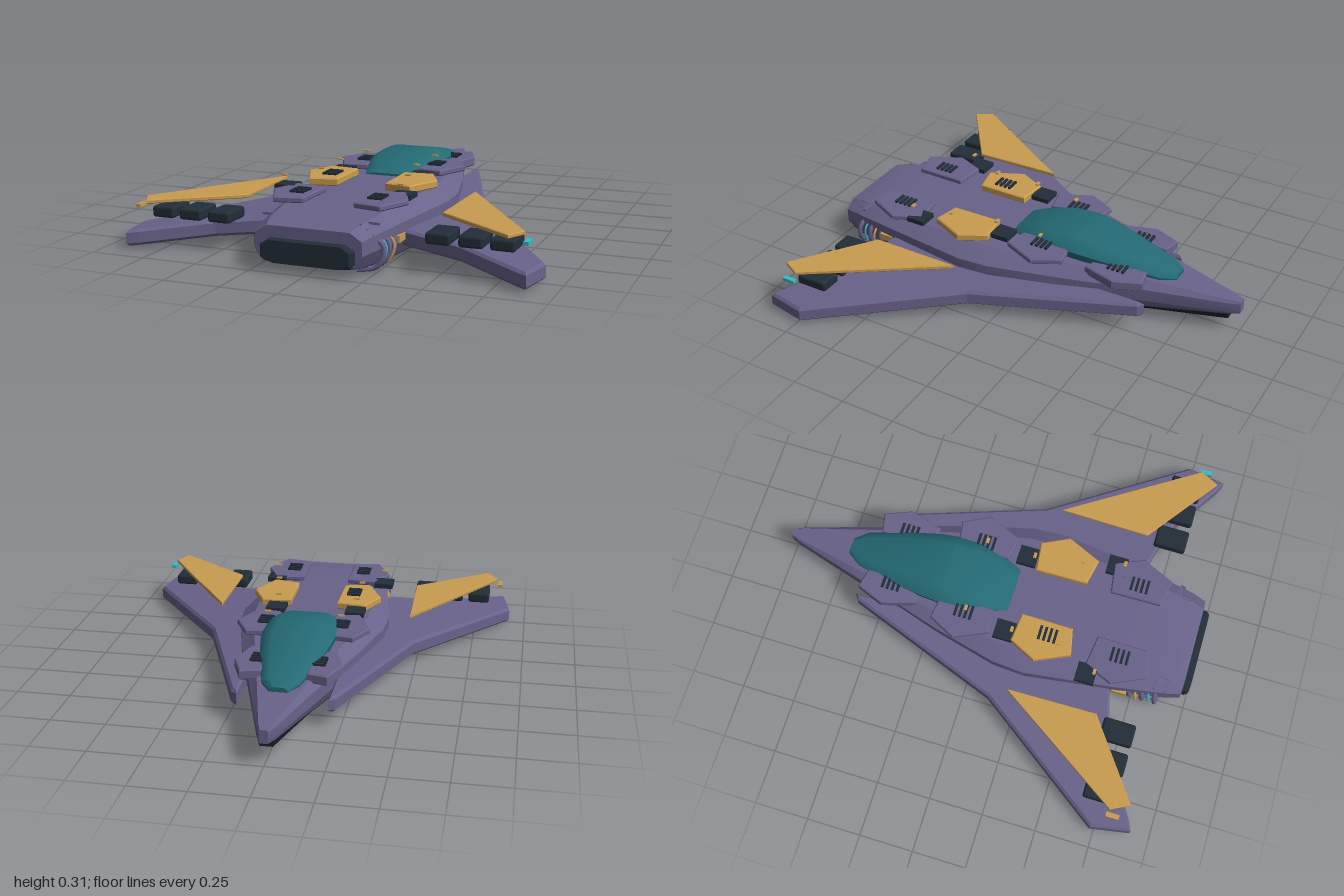
import * as THREE from 'three';
import { toCreasedNormals } from 'three/addons/utils/BufferGeometryUtils.js';
import { RoundedBoxGeometry } from 'three/addons/geometries/RoundedBoxGeometry.js';

const mat = (name, color, side = THREE.FrontSide) => {
  const m = new THREE.MeshStandardMaterial({ color, side });
  m.name = name;
  return m;
};

// Closed skin through cross-sections ordered by rising z: { z, ring: [[x, y], ...] }
function loft(sections, crease) {
  const n = sections[0].ring.length, pos = [], idx = [];
  for (const s of sections) for (const [x, y] of s.ring) pos.push(x, y, s.z);
  for (let i = 0; i < sections.length - 1; i++) {
    for (let j = 0; j < n; j++) {
      const a = i * n + j, b = i * n + (j + 1) % n;
      idx.push(a, b, b + n, a, b + n, a + n);
    }
  }
  const last = (sections.length - 1) * n;
  for (let j = 1; j < n - 1; j++) {
    idx.push(0, j + 1, j);
    idx.push(last, last + j, last + j + 1);
  }
  const g = new THREE.BufferGeometry();
  g.setAttribute('position', new THREE.Float32BufferAttribute(pos, 3));
  g.setIndex(idx);
  return toCreasedNormals(g, crease);
}

// Mirror the right half of a ring (listed bottom to top) into a full loop
const ringOf = half => [...half, ...half.map(([x, y]) => [-x, y]).reverse()];

// Horizontal plate from an [x, z] outline, between heights y0 and y1
function plate(points, y0, y1, bevel, side = 1) {
  const shape = new THREE.Shape(points.map(([x, z]) => new THREE.Vector2(x * side, -z)));
  const g = new THREE.ExtrudeGeometry(shape, {
    depth: y1 - y0 - 2 * bevel, bevelEnabled: bevel > 0, bevelSize: bevel,
    bevelThickness: bevel, bevelOffset: -bevel, bevelSegments: 1,
  });
  return g.rotateX(-Math.PI / 2).translate(0, y0 + bevel, 0);
}

export function createModel() {
  const root = new THREE.Group();
  const purple = mat('hull purple', 0x69628a);
  const dark = mat('dark slate', 0x222e38);
  const black = mat('belly black', 0x182125);
  const gold = mat('panel gold', 0xc99c50);
  const teal = mat('canopy teal', 0x246a74);
  const cyan = mat('light cyan', 0x38b8cc);

  const add = (name, geo, material, x = 0, y = 0, z = 0, parent = root) => {
    const m = new THREE.Mesh(geo, material);
    m.name = name;
    m.position.set(x, y, z);
    parent.add(m);
    return m;
  };
  const box = (name, w, h, d, material, x, y, z) =>
    add(name, new THREE.BoxGeometry(w, h, d), material, x, y, z);

  // Fuselage stations: z, half width, top, shoulder, lower edge, underside, keel
  const stations = [
    [-1, 0.02, 0.165, 0.155, 0.115, 0.105, 0.1],
    [-0.95, 0.04, 0.17, 0.157, 0.115, 0.098, 0.068],
    [-0.6, 0.145, 0.203, 0.17, 0.11, 0.07, 0.042],
    [-0.2, 0.27, 0.23, 0.18, 0.115, 0.035, 0.006],
    [0.1, 0.345, 0.235, 0.18, 0.115, 0.03, 0.006],
    [0.25, 0.355, 0.235, 0.18, 0.115, 0.03, 0.008],
    [0.65, 0.30, 0.222, 0.175, 0.105, 0.03, 0.016],
    [0.9, 0.255, 0.208, 0.165, 0.1, 0.035, 0.024],
    [0.965, 0.235, 0.19, 0.155, 0.095, 0.045, 0.036],
  ];
  add('fuselage', loft(stations.map(([z, w, top, sh, low, under]) => ({
    z, ring: ringOf([[w * 0.86, under], [w, low], [w, sh], [w * 0.78, top]]),
  })), 0.35), purple);
  add('belly', loft(stations.slice(1).map(([z, w, , , , under, keel]) => ({
    z, ring: ringOf([[w * 0.7, keel], [w * 0.87, under - 0.002], [w * 0.8, under + 0.01]]),
  })), 0.35), black);

  // Engine nozzle at the tail
  const nozzle = s => ringOf([[0.15 * s, 0.09 - 0.05 * s], [0.205 * s, 0.09 - 0.03 * s],
    [0.205 * s, 0.09 + 0.025 * s], [0.165 * s, 0.09 + 0.05 * s]]);
  add('engineNozzle', loft([{ z: 0.94, ring: nozzle(1) }, { z: 0.985, ring: nozzle(1) },
    { z: 1, ring: nozzle(0.94) }], 0.3), dark);

  // Canopy: z, half width, base, top
  const canopy = [
    [-0.7, 0.04, 0.185, 0.215], [-0.64, 0.085, 0.19, 0.232], [-0.45, 0.132, 0.2, 0.275],
    [-0.3, 0.16, 0.21, 0.305], [-0.22, 0.168, 0.215, 0.312], [-0.1, 0.17, 0.215, 0.303],
    [0.0, 0.145, 0.22, 0.282], [0.05, 0.122, 0.22, 0.266], [0.1, 0.105, 0.22, 0.245],
  ].map(([z, w, base, top]) => ({
    z, ring: ringOf([[w * 0.95, base], [w, base + (top - base) * 0.5],
      [w * 0.85, base + (top - base) * 0.8], [w * 0.62, top]]),
  }));
  add('canopy', loft(canopy, 0.5), teal);

  const wingOutline = [[0.2, -0.62], [0.228, -0.6], [0.49, 0.12], [0.922, 0.73], [0.89, 0.91], [0.845, 0.89],
    [0.56, 0.715], [0.3, 0.65], [0.2, 0.6]];
  const flapOutline = [[0.46, 0.2], [0.85, 0.79], [0.805, 0.875], [0.452, 0.62]];
  // Dorsal armour: outline, base height, top height, material
  const armour = [
    [[[0.1, -0.58], [0.19, -0.6], [0.24, -0.475], [0.195, -0.32], [0.1, -0.35]], 0.19, 0.235, purple],
    [[[0.12, -0.21], [0.245, -0.23], [0.31, -0.105], [0.24, 0.052], [0.13, 0.03]], 0.24, 0.267, purple],
    [[[0.112, 0.17], [0.248, 0.155], [0.31, 0.28], [0.238, 0.438], [0.115, 0.412]], 0.24, 0.275, gold],
    [[[0.112, 0.53], [0.255, 0.51], [0.31, 0.64], [0.24, 0.79], [0.115, 0.765]], 0.24, 0.265, purple],
  ];

  for (const side of [1, -1]) {
    const tag = side > 0 ? 'left' : 'right';

    // Drooping wing: a flat plate sheared downward towards the tip
    const wing = plate(wingOutline, 0.07, 0.142, 0.012, side);
    const p = wing.attributes.position;
    for (let i = 0; i < p.count; i++) p.setY(i, p.getY(i) - 0.087 * (Math.abs(p.getX(i)) - 0.25));
    wing.computeVertexNormals();
    add(tag + 'Wing', wing, purple);

    add(tag + 'WingFlap', plate(flapOutline, 0.203, 0.22, 0.003, side), gold);
    for (const x of [0.493, 0.632, 0.764]) {
      add(tag + 'WingPod', new RoundedBoxGeometry(0.104, 0.05, 0.15, 2, 0.012), dark, x * side, 0.155, 0.735);
    }
    box(tag + 'TipLight', 0.022, 0.015, 0.06, side > 0 ? cyan : gold, 0.867 * side, 0.182, 0.81);

    for (const [outline, y0, y1, m] of armour) {
      add(tag + 'ArmourPlate', plate(outline, y0, y1, 0.005, side), m);
    }

    // Louvres on the armour: x, top of plate, z
    const louvres = [[0.135, 0.235, -0.455], [0.178, 0.267, -0.09], [0.178, 0.265, 0.65]];
    if (side < 0) louvres.push([0.178, 0.275, 0.31]);
    for (const [x, y, z] of louvres) {
      for (let i = 0; i < 4; i++) {
        box(tag + 'Louvre', 0.065, 0.012, 0.012, dark, x * side, y + 0.004, z + (i - 1.5) * 0.024);
      }
    }

    // Dark hatches between the plates
    const shift = side > 0 ? 0 : 0.045;
    for (const [x, z] of [[0.17 + shift * 0.85, 0.115], [0.245 + shift * 1.15, 0.525]]) {
      box(tag + 'Hatch', 0.09, 0.022, 0.09, dark, x * side, 0.254, z);
    }
    // Small gold tabs floating above the deck
    for (const [x, z] of [[0.172, -0.08], [0.165 + shift, 0.15], [0.207, 0.37], [0.245 + shift * 1.1, 0.56]]) {
      box(tag + 'Tab', 0.026, 0.007, 0.014, gold, x * side, 0.308, z);
    }

    // Rear flank: gold clasp, curved ribs and cables wrapping under the hull
    box(tag + 'Clasp', 0.016, 0.03, 0.07, gold, 0.295 * side, 0.115, 0.69);
    const rib = (name, z, r, out, material) => {
      const curve = new THREE.CatmullRomCurve3([[0.235, 0.15], [0.262 + out, 0.12], [0.262 + out, 0.07],
        [0.235 + out, 0.03], [0.175, 0.012]].map(([x, y], i) => new THREE.Vector3(x * side, y, z + i * 0.005)));
      add(name, new THREE.TubeGeometry(curve, 14, r, 6), material);
    };
    for (const z of [0.73, 0.79, 0.85]) rib(tag + 'Rib', z, 0.011, 0.02, purple);
    rib(tag + 'GoldCable', 0.76, 0.006, 0.03, gold);
    rib(tag + 'CyanCable', 0.82, 0.005, 0.02, cyan);
    // Little brackets on the tail shoulder
    for (const x of [0.2, 0.225, 0.25]) {
      box(tag + 'Bracket', 0.008, 0.012, 0.06, purple, x * side, 0.205 - (x - 0.2) * 0.8, 0.865);
    }
    box(tag + 'BracketBar', 0.08, 0.01, 0.01, purple, 0.222 * side, 0.205, 0.84);
  }
  return root;
}
